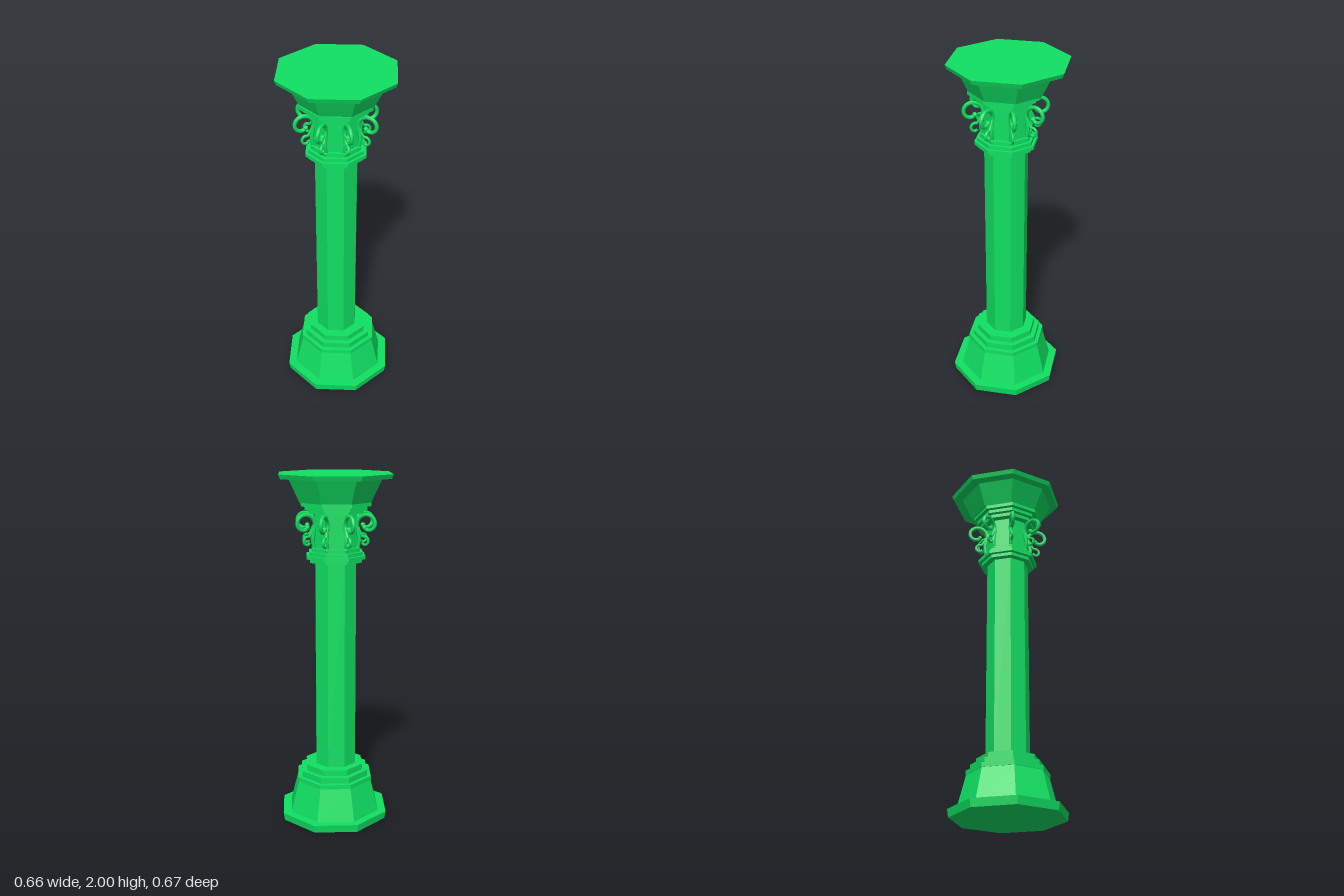
import * as THREE from 'three';

export function createModel() {
  const model = new THREE.Group();
  model.name = 'column';
  const mat = new THREE.MeshStandardMaterial({ color: 0x10e062, flatShading: true });
  const smooth = new THREE.MeshStandardMaterial({ color: 0x10e062 });

  // Octagonal drum between two heights, with a corner facing the front
  function drum(name, y0, y1, r0, r1, x = 0, z = 0) {
    const mesh = new THREE.Mesh(new THREE.CylinderGeometry(r1, r0, y1 - y0, 8), mat);
    mesh.name = name;
    mesh.position.set(x, (y0 + y1) / 2, z);
    model.add(mesh);
  }

  // Base: plinth, sloped foot and three steps
  drum('plinth', 0, 0.045, 0.318, 0.325, 0, 0.012);
  drum('foot', 0.045, 0.23, 0.275, 0.227, 0, 0.01);
  drum('baseStepLower', 0.23, 0.255, 0.23, 0.23, 0, 0.01);
  drum('baseStepMiddle', 0.255, 0.29, 0.205, 0.205, 0, 0.01);
  drum('baseStepUpper', 0.29, 0.325, 0.175, 0.175, 0, 0.01);

  // Shaft, continuing up into the neck of the capital
  const cx = -0.008, cz = 0.007;
  drum('shaft', 0.32, 1.52, 0.122, 0.122, cx, cz);
  drum('neck', 1.52, 1.79, 0.125, 0.125, cx, cz);

  // Collar rings under the neck
  drum('collarLower', 1.515, 1.535, 0.155, 0.155, cx, cz);
  drum('collarMiddle', 1.535, 1.555, 0.175, 0.175, cx, cz);
  drum('collarUpper', 1.555, 1.575, 0.16, 0.16, cx, cz);
  drum('collarTop', 1.575, 1.597, 0.142, 0.142, cx, cz);

  // Capital: three steps, flaring bell and top slab
  drum('capitalStepLower', 1.785, 1.806, 0.162, 0.162, cx, cz);
  drum('capitalStepMiddle', 1.806, 1.826, 0.185, 0.185, cx, cz);
  drum('capitalStepUpper', 1.826, 1.847, 0.207, 0.207, cx, cz);
  drum('bell', 1.847, 1.975, 0.21, 0.272);
  drum('topSlab', 1.975, 2, 0.322, 0.332, 0, -0.005);

  // Spiral points around a centre, radius shrinking from r0 to r1
  function spiral(x, y, r0, r1, a0, a1, n) {
    return Array.from({ length: n + 1 }, (_, i) => {
      const t = i / n, a = a0 + (a1 - a0) * t, r = r0 + (r1 - r0) * t;
      return new THREE.Vector3(x + r * Math.cos(a), y + r * Math.sin(a), 0);
    });
  }
  const P = Math.PI;
  const tube = (points, r) =>
    new THREE.TubeGeometry(new THREE.CatmullRomCurve3(points), 36, r, 6);
  const p = (x, y) => new THREE.Vector3(x, y, 0);

  // Large upper volute on a stem, and a small curl below it
  const volute = tube([p(0.128, 1.59), p(0.138, 1.64), p(0.13, 1.69),
    ...spiral(0.187, 1.727, 0.062, 0.026, P, -0.75 * P, 14)], 0.011);
  const curl = tube([p(0.132, 1.71), p(0.145, 1.68),
    ...spiral(0.168, 1.632, 0.03, 0.012, 0.6 * P, -0.9 * P, 9)], 0.008);
  const bud = new THREE.SphereGeometry(0.014, 8, 6);

  // One scroll on each corner of the neck
  for (let i = 0; i < 8; i++) {
    const scroll = new THREE.Group();
    scroll.name = 'scroll' + (i + 1);
    const add = (name, geo, x = 0, y = 0) => {
      const mesh = new THREE.Mesh(geo, smooth);
      mesh.name = name;
      mesh.position.set(x, y, 0);
      scroll.add(mesh);
    };
    add('volute', volute);
    add('curl', curl);
    add('voluteTip', bud, 0.169, 1.709);
    add('foot', bud, 0.13, 1.59);
    scroll.position.set(cx, 0, cz);
    scroll.rotation.y = i * P / 4;
    model.add(scroll);
  }
  return model;
}
